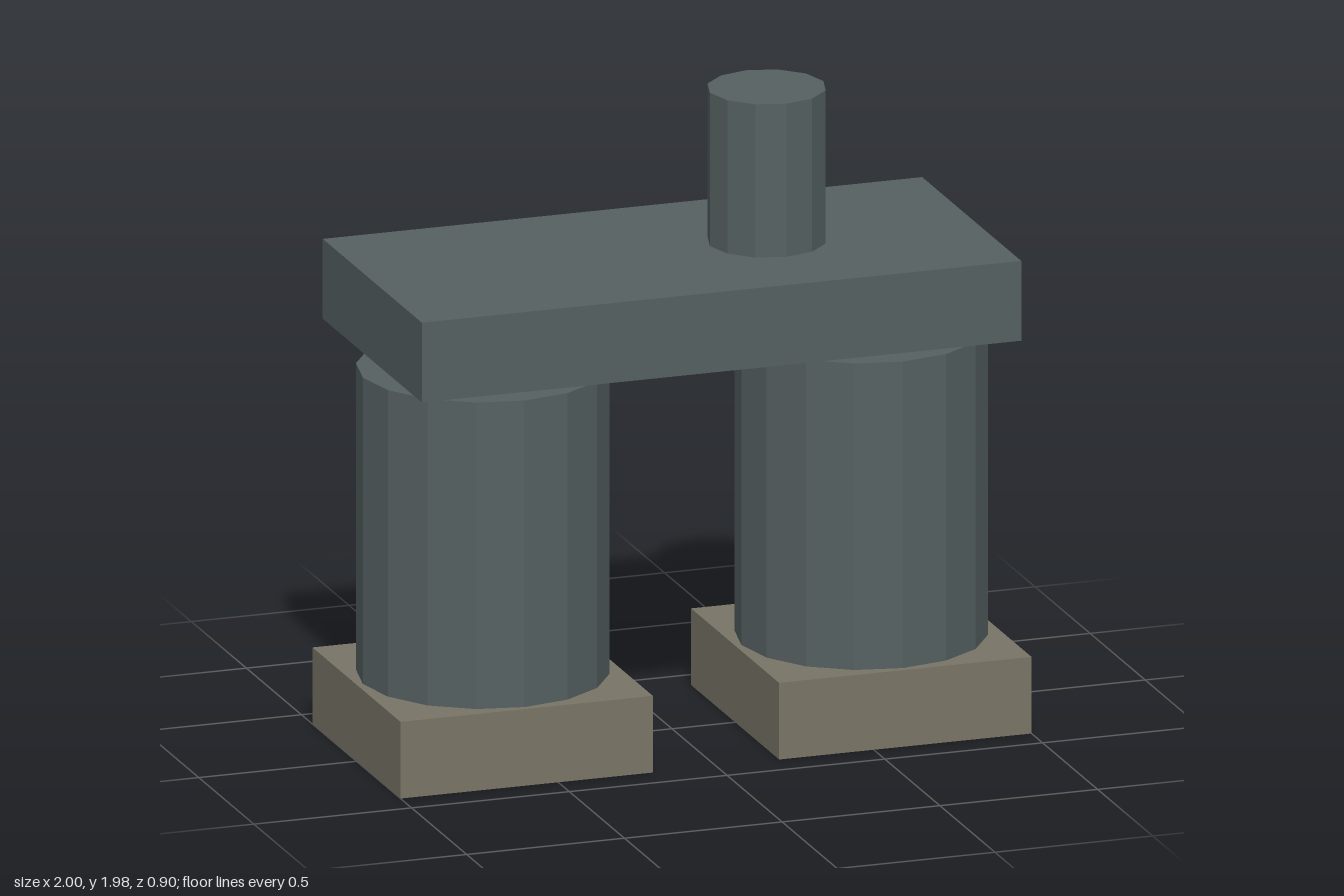
import * as THREE from 'three';

export function createModel() {
  const model = new THREE.Group();
  model.name = 'machine';

  const steel = new THREE.MeshStandardMaterial({ color: 0x556061, flatShading: true });
  steel.name = 'slate steel';
  const concrete = new THREE.MeshStandardMaterial({ color: 0x787466, flatShading: true });
  concrete.name = 'concrete';

  // Adds a part standing on height y
  const add = (name, geometry, material, x, y, height, parent = model) => {
    const mesh = new THREE.Mesh(geometry, material);
    mesh.name = name;
    mesh.position.set(x, y + height / 2, 0);
    parent.add(mesh);
  };

  // Two tanks, each on a square plinth
  for (const [side, x] of [['left', 0.6], ['right', -0.6]]) {
    const tower = new THREE.Group();
    tower.name = side + 'Tower';
    tower.position.x = x;
    add('plinth', new THREE.BoxGeometry(0.8, 0.24, 0.8), concrete, 0, 0, 0.24, tower);
    add('tank', new THREE.CylinderGeometry(0.38, 0.38, 0.96, 16), steel, 0, 0.24, 0.96, tower);
    model.add(tower);
  }

  // Deck floating just above the tanks, with an off-centre stack
  add('deck', new THREE.BoxGeometry(1.9, 0.25, 0.9), steel, 0, 1.25, 0.25);
  add('stack', new THREE.CylinderGeometry(0.18, 0.18, 0.48, 12), steel, 0.3, 1.5, 0.48);

  return model;
}
